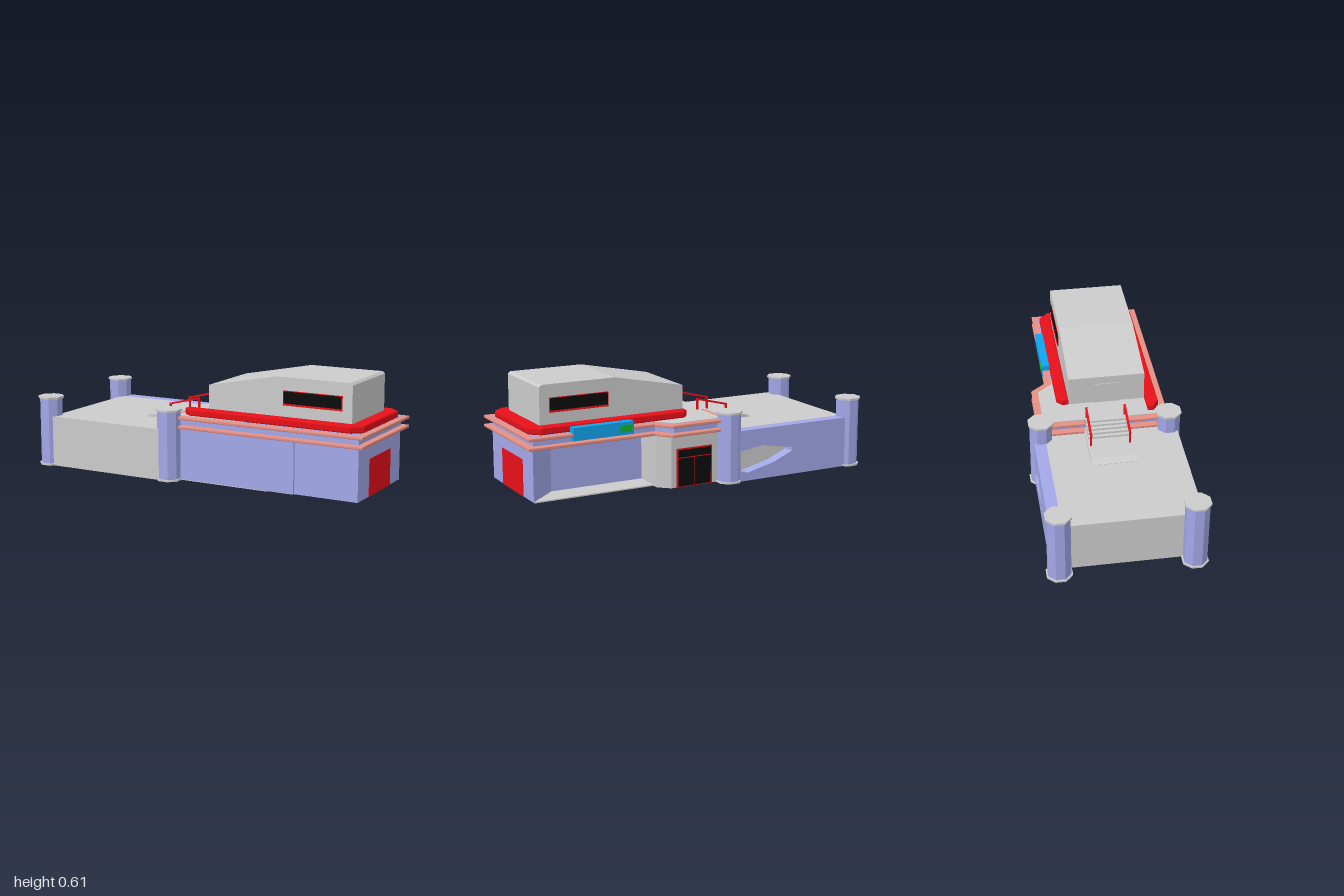
import * as THREE from 'three';

const mat = (color) => new THREE.MeshStandardMaterial({ color, flatShading: true });
const GREY = mat(0xcccccc), BLUE = mat(0xa3a8e8), RED = mat(0xe81018), PINK = mat(0xe58f85);
const BLACK = mat(0x0c0c0c), CYAN = mat(0x10a5f0), GREEN = mat(0x14b828);

export function createModel() {
  const model = new THREE.Group();
  const add = (name, geo, material) => {
    const mesh = new THREE.Mesh(geo, material);
    mesh.name = name;
    model.add(mesh);
    return mesh;
  };
  // Box given by its limits
  const box = (name, m, x0, x1, y0, y1, z0, z1) =>
    add(name, new THREE.BoxGeometry(x1 - x0, y1 - y0, z1 - z0)
      .translate((x0 + x1) / 2, (y0 + y1) / 2, (z0 + z1) / 2), m);
  const shapeOf = (pts) => new THREE.Shape(pts.map(([a, b]) => new THREE.Vector2(a, b)));
  // Floor plan [x, z] raised from y0 to y1, with optional chamfered edges
  const slab = (name, m, plan, y0, y1, bevel = 0) => {
    const geo = new THREE.ExtrudeGeometry(shapeOf(plan.map(([x, z]) => [x, -z])), {
      depth: y1 - y0 - 2 * bevel, bevelEnabled: bevel > 0, bevelSize: bevel,
      bevelThickness: bevel, bevelOffset: -bevel, bevelSegments: 2,
    });
    return add(name, geo.rotateX(-Math.PI / 2).translate(0, y0 + bevel, 0), m);
  };
  // Elevation [x, y] extended from z0 to z1
  const elevation = (name, m, shape, z0, z1) =>
    add(name, new THREE.ExtrudeGeometry(shape, { depth: z1 - z0, bevelEnabled: false })
      .translate(0, 0, z0), m);

  // Low deck with a blue rear wall holding a tapered niche
  box('deck', GREY, -0.9, -0.11, 0, 0.285, -0.335, 0.4);
  const wall = shapeOf([[-0.9, 0], [-0.13, 0], [-0.13, 0.285], [-0.9, 0.285]]);
  wall.holes.push(new THREE.Path([
    [-0.19, 0.06], [-0.24, 0.045], [-0.41, 0.085], [-0.53, 0.135],
    [-0.53, 0.155], [-0.34, 0.19], [-0.19, 0.17],
  ].map(([x, y]) => new THREE.Vector2(x, y))));
  elevation('rearDeckWall', BLUE, wall, -0.4, -0.335);

  // Octagonal corner columns
  const octagon = (halfWidth, h) =>
    new THREE.CylinderGeometry(halfWidth / Math.cos(Math.PI / 8), halfWidth / Math.cos(Math.PI / 8), h, 8)
      .rotateY(Math.PI / 8);
  for (const x of [-0.932, -0.145]) {
    for (const z of [-0.358, 0.355]) {
      add('columnShaft', octagon(0.06, 0.38), BLUE).position.set(x, 0.195, z);
      add('columnBase', octagon(0.068, 0.01), GREY).position.set(x, 0.005, z);
      add('columnCap', octagon(0.068, 0.011), GREY).position.set(x, 0.39, z);
    }
  }

  // Main hall, recessed under the upper storey along the rear
  slab('hallWalls', BLUE, [[-0.11, 0.323], [0.96, 0.323], [0.96, -0.245], [0.8, -0.1], [-0.11, -0.1]], 0.003, 0.3);
  box('frontWallPanel', BLUE, -0.11, 0.6, 0.003, 0.3, 0.3, 0.335);
  box('hallFloor', GREY, -0.11, 0.45, 0, 0.004, -0.1, 0.335);
  slab('porchFloor', GREY, [[0.26, -0.245], [0.96, -0.245], [0.8, -0.09], [0.26, -0.09]], 0, 0.007);
  const plan = (e, left) => [
    [left, 0.323 + e], [0.96 + e, 0.323 + e], [0.96 + e, -0.25 - e],
    [0.255 + e * 0.6, -0.25 - e], [0.185 + e * 0.6, -0.337 - e], [left, -0.337 - e],
  ];
  slab('upperWalls', BLUE, plan(0, -0.11), 0.285, 0.356);
  slab('terraceFloor', GREY, [
    [-0.11, 0.323], [0.3, 0.323], [0.3, -0.25], [0.255, -0.25], [0.185, -0.337], [-0.11, -0.337],
  ], 0.35, 0.358);

  // Two trim bands, notched where the stairs meet the terrace
  for (const y of [0.288, 0.338]) {
    const band = plan(0.035, -0.09);
    band.push([-0.09, -0.3], [-0.145, -0.3], [-0.145, -0.11], [-0.1, -0.11],
      [-0.1, 0.13], [-0.145, 0.13], [-0.145, 0.3], [-0.09, 0.3]);
    slab('trimBand', PINK, band, y, y + 0.017, 0.004);
  }

  // Entrance block and its double door
  slab('entranceWalls', GREY, [
    [-0.11, -0.09], [0.26, -0.09], [0.26, -0.28], [0.2, -0.335], [-0.11, -0.335],
  ], 0, 0.29);
  box('entranceFrame', RED, -0.05, 0.17, 0, 0.215, -0.34, -0.33);
  for (const x of [-0.04, 0.063]) box('entranceGlass', BLACK, x, x + 0.097, 0.005, 0.16, -0.343, -0.335);
  box('entranceTransom', BLACK, -0.04, 0.16, 0.166, 0.207, -0.343, -0.335);

  // Large door on the end wall
  box('endDoor', RED, 0.95, 0.963, 0.003, 0.205, -0.105, 0.18);

  // Red parapet around the roof, open towards the terrace
  slab('roofParapet', RED, [
    [-0.08, 0.25], [0.89, 0.25], [0.89, -0.18], [0.04, -0.18], [0.04, -0.215], [0.07, -0.245],
    [0.91, -0.245], [0.965, -0.195], [0.965, 0.265], [0.91, 0.315], [-0.04, 0.315], [-0.08, 0.285],
  ], 0.356, 0.396, 0.008);

  // Roof house with a sloping top
  elevation('roofHouse', GREY, shapeOf([
    [0.045, 0.356], [0.89, 0.356], [0.89, 0.594], [0.876, 0.606], [0.455, 0.606], [0.045, 0.525],
  ]), -0.178, 0.25);
  for (const [z, s] of [[0.25, 1], [-0.178, -1]]) {
    const at = (name, m, x0, x1, y0, y1, d) =>
      box(name, m, x0, x1, y0, y1, Math.min(z, z + s * d), Math.max(z, z + s * d));
    at('windowFrame', RED, 0.495, 0.835, 0.458, 0.535, 0.003);
    at('windowGlass', BLACK, 0.5, 0.83, 0.466, 0.531, 0.005);
    at('windowSill', RED, 0.495, 0.835, 0.456, 0.461, 0.008);
  }
  for (const z of [-0.035, 0.04]) box('roofHouseDoor', GREY, 0.041, 0.05, 0.358, 0.48, z, z + 0.072);

  // Landing and steps from the deck up to the terrace
  elevation('landing', GREY, shapeOf([[-0.43, 0.28], [-0.1, 0.28], [-0.1, 0.303], [-0.39, 0.303], [-0.43, 0.287]]), -0.115, 0.135);
  const steps = 5;
  for (let i = 0; i < steps; i++) {
    box('step', GREY, -0.22 + i * 0.022, -0.1, 0.3, 0.303 + (i + 1) * 0.011, -0.105, 0.125);
  }

  // Handrails
  for (const z of [-0.097, 0.117]) {
    box('railPost', RED, -0.284, -0.274, 0.3, 0.37, z - 0.005, z + 0.005);
    box('railPost', RED, -0.098, -0.088, 0.355, 0.42, z - 0.005, z + 0.005);
    elevation('handrail', RED, shapeOf([[-0.284, 0.364], [-0.088, 0.414], [-0.088, 0.424], [-0.284, 0.374]]), z - 0.006, z + 0.006);
  }

  // Plain sign board over the rear porch
  box('signBoard', CYAN, 0.4, 0.75, 0.316, 0.386, -0.289, -0.245);
  box('signAccent', GREEN, 0.41, 0.48, 0.332, 0.37, -0.293, -0.28);

  return model;
}
